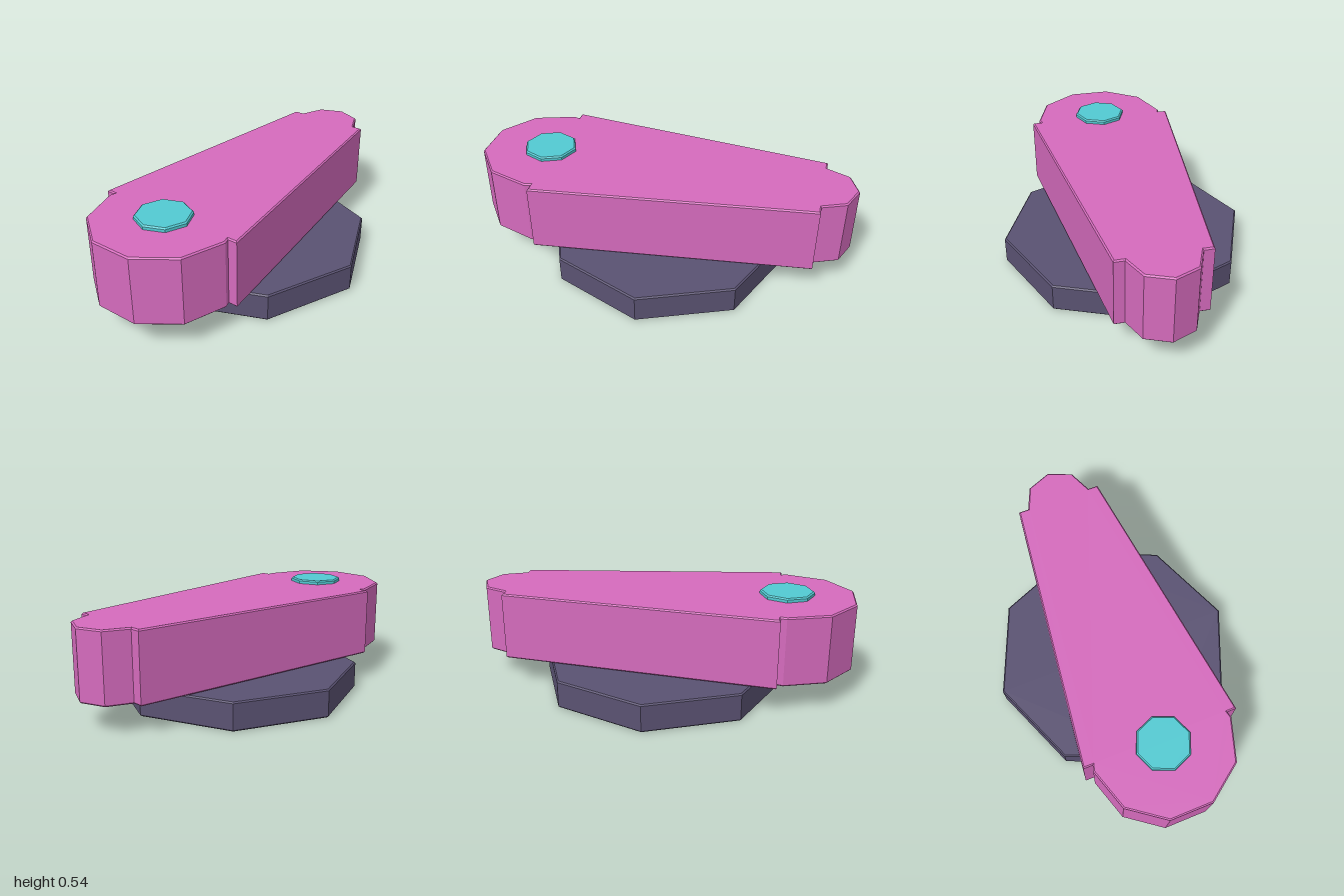
import * as THREE from 'three';

const pink = new THREE.MeshStandardMaterial({ name: 'pink', color: 0xd56bbd });
const slate = new THREE.MeshStandardMaterial({ name: 'slate', color: 0x5a5272 });
const teal = new THREE.MeshStandardMaterial({ name: 'teal', color: 0x52cad2 });

// Upright prism from a plan outline, with a small chamfer kept inside the outline
function prism(name, points, y0, y1, bevel, material) {
  const shape = new THREE.Shape(points.map(([x, z]) => new THREE.Vector2(x, z)));
  const geometry = new THREE.ExtrudeGeometry(shape, {
    depth: y1 - y0 - 2 * bevel,
    bevelEnabled: true,
    bevelThickness: bevel,
    bevelSize: bevel,
    bevelOffset: -bevel,
    bevelSegments: 1,
  });
  geometry.rotateX(-Math.PI / 2);
  geometry.translate(0, y0 + bevel, 0);
  const mesh = new THREE.Mesh(geometry, material);
  mesh.name = name;
  return mesh;
}

// Points of a regular polygon with its first corner on +x
function polygon(cx, radius, sides) {
  return Array.from({ length: sides }, (_, i) => {
    const a = (i / sides) * Math.PI * 2;
    return [cx + radius * Math.cos(a), radius * Math.sin(a)];
  });
}

export function createModel() {
  const model = new THREE.Group();
  model.name = 'leverOnBase';

  // Octagonal foot
  model.add(prism('base', polygon(0.008, 0.655, 8), 0, 0.147, 0.007, slate));

  // Tapered arm: faceted small end, straight body, faceted large end
  const half = [
    [0.945, 0.125], [0.822, 0.177], [0.822, 0.23],
    [-0.62, 0.405], [-0.62, 0.356], [-0.65, 0.365],
    [-0.865, 0.295], [-0.998, 0.112],
  ];
  const mirrored = half.map(([x, z]) => [x, -z]).reverse();
  model.add(prism('arm', [[0.997, 0], ...half, ...mirrored], 0.153, 0.513, 0.007, pink));

  // Pivot pin passing through the large end
  model.add(prism('pivotPin', polygon(-0.65, 0.142, 8), 0.13, 0.535, 0.007, teal));

  return model;
}
